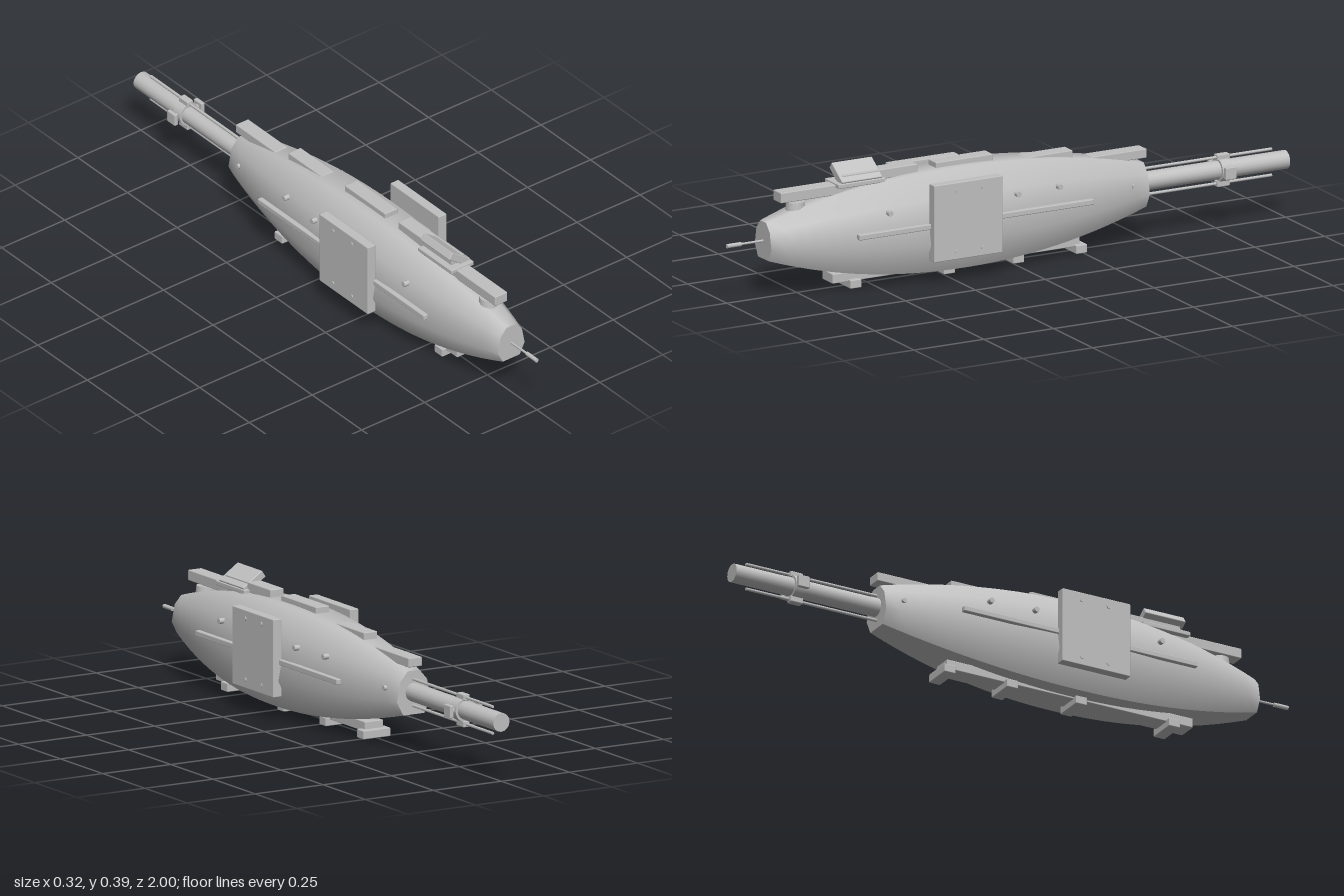
import * as THREE from 'three';
import { toCreasedNormals } from 'three/addons/utils/BufferGeometryUtils.js';
import { RoundedBoxGeometry } from 'three/addons/geometries/RoundedBoxGeometry.js';

const grey = new THREE.MeshStandardMaterial({ color: 0xc0c0c0 });
grey.name = 'light grey';

const AXIS_Y = 0.19;
// Right half of the faceted cross-section, relative to the hull axis
const HALF = [[0.088, -0.162], [0.14, -0.06], [0.112, 0.083], [0.05, 0.155]];

// Hull scale along z: fullest at z = 0.2, tapering to both ends
function hullScale(z) {
  return z > 0.2
    ? 1 - 0.62 * Math.pow((z - 0.2) / 0.67, 2.2)
    : 1 - 0.56 * Math.pow((0.2 - z) / 0.68, 2);
}

function hullGeometry() {
  const ring = [...HALF, ...HALF.slice().reverse().map(([x, y]) => [-x, y])];
  const n = ring.length, steps = 28, pos = [], index = [];
  for (let k = 0; k <= steps; k++) {
    const z = -0.48 + (1.35 * k) / steps, s = hullScale(z);
    for (const [x, y] of ring) pos.push(x * s, AXIS_Y + y * s, z);
  }
  for (let k = 0; k < steps; k++) {
    for (let i = 0; i < n; i++) {
      const a = k * n + i, b = k * n + (i + 1) % n;
      index.push(a, b, b + n, a, b + n, a + n);
    }
  }
  // End caps
  const f = steps * n;
  for (let i = 1; i < n - 1; i++) index.push(0, i + 1, i, f, f + i, f + i + 1);
  const g = new THREE.BufferGeometry();
  g.setAttribute('position', new THREE.Float32BufferAttribute(pos, 3));
  g.setIndex(index);
  return toCreasedNormals(g, 0.96);
}

export function createModel() {
  const model = new THREE.Group();
  model.name = 'vessel';

  const add = (name, geometry, x, y, z) => {
    const m = new THREE.Mesh(geometry, grey);
    m.name = name;
    m.position.set(x, y, z);
    model.add(m);
    return m;
  };
  // Softly bevelled box given by its limits on each axis
  const box = (name, x0, x1, y0, y1, z0, z1, r = 0.003) =>
    add(name, new RoundedBoxGeometry(x1 - x0, y1 - y0, z1 - z0, 1, r),
      (x0 + x1) / 2, (y0 + y1) / 2, (z0 + z1) / 2);
  // Rod running along z
  const rod = (name, r, x, y, z0, z1, sides = 12) =>
    add(name, new THREE.CylinderGeometry(r, r, z1 - z0, sides).rotateX(Math.PI / 2), x, y, (z0 + z1) / 2);
  // Short stud running along x
  const stud = (name, r, len, x, y, z) =>
    add(name, new THREE.CylinderGeometry(r, r, len, 10).rotateZ(Math.PI / 2), x, y, z);

  add('hull', hullGeometry(), 0, 0, 0);

  // Nose probe
  rod('noseProbe', 0.004, 0, 0.187, 0.86, 0.96, 8);
  rod('probeTip', 0.007, 0, 0.187, 0.95, 1.0, 10);

  // Tail boom with collar and guide rods
  rod('tailBoom', 0.03, 0, AXIS_Y, -1.0, -0.46, 16);
  rod('boomCollar', 0.038, 0, AXIS_Y, -0.79, -0.755, 16);
  for (const y of [0.231, 0.146]) {
    rod('guideRod', 0.005, 0, y, -0.95, -0.46, 8);
    box('rodClamp', -0.012, 0.012, y - 0.01, y + 0.01, -0.795, -0.75);
  }
  for (const s of [-1, 1]) {
    stud('collarArm', 0.01, 0.03, s * 0.045, AXIS_Y, -0.773);
    box('collarKnob', s * 0.053 - 0.007, s * 0.053 + 0.007, 0.17, 0.21, -0.793, -0.753);
  }

  // Row of dorsal blocks: [z0, z1, y0, y1]
  for (const [z0, z1, y0, y1] of [
    [0.5, 0.82, 0.306, 0.34], [0.33, 0.6, 0.335, 0.367], [0.06, 0.265, 0.33, 0.362],
    [-0.225, -0.055, 0.3, 0.334], [-0.49, -0.29, 0.272, 0.302],
  ]) box('dorsalBlock', -0.025, 0.025, y0, y1, z0, z1);

  // Cross plate with the tilted panel above it
  box('crossPlate', -0.045, 0.045, 0.33, 0.345, 0.455, 0.625);
  box('tiltedPanel', -0.043, 0.043, 0.35, 0.376, 0.465, 0.61).rotation.z = -0.6;

  // Dome on the foredeck
  add('deckDome', new THREE.CylinderGeometry(0.029, 0.032, 0.03, 20), 0, 0.285, 0.755);

  // Keel and its cross feet
  box('keel', -0.034, 0.034, 0.022, 0.054, -0.245, 0.64);
  for (const z of [0.565, 0.23, -0.018, -0.243])
    box('keelFoot', -0.05, 0.05, 0.002, 0.03, z - 0.02, z + 0.02);

  // Mirrored side fittings
  for (const s of [-1, 1]) {
    box('sidePanel', s * 0.141 - 0.016, s * 0.141 + 0.016, 0.08, 0.33, 0.1, 0.345);
    box('panelMount', s * 0.118 - 0.02, s * 0.118 + 0.02, 0.12, 0.26, 0.14, 0.305);
    for (const y of [0.107, 0.303])
      for (const z of [0.17, 0.265]) stud('panelBolt', 0.007, 0.006, s * 0.157, y, z);
    box('sideRail', s * 0.126 - 0.009, s * 0.126 + 0.009, 0.182, 0.2, -0.24, 0.6);
    for (const z of [0.48, 0.025, -0.13])
      stud('hullStud', 0.009, 0.03, s * (0.116 * hullScale(z) + 0.002), 0.25, z);
    stud('rearStud', 0.008, 0.02, s * 0.065, 0.2, -0.42);
  }
  return model;
}
